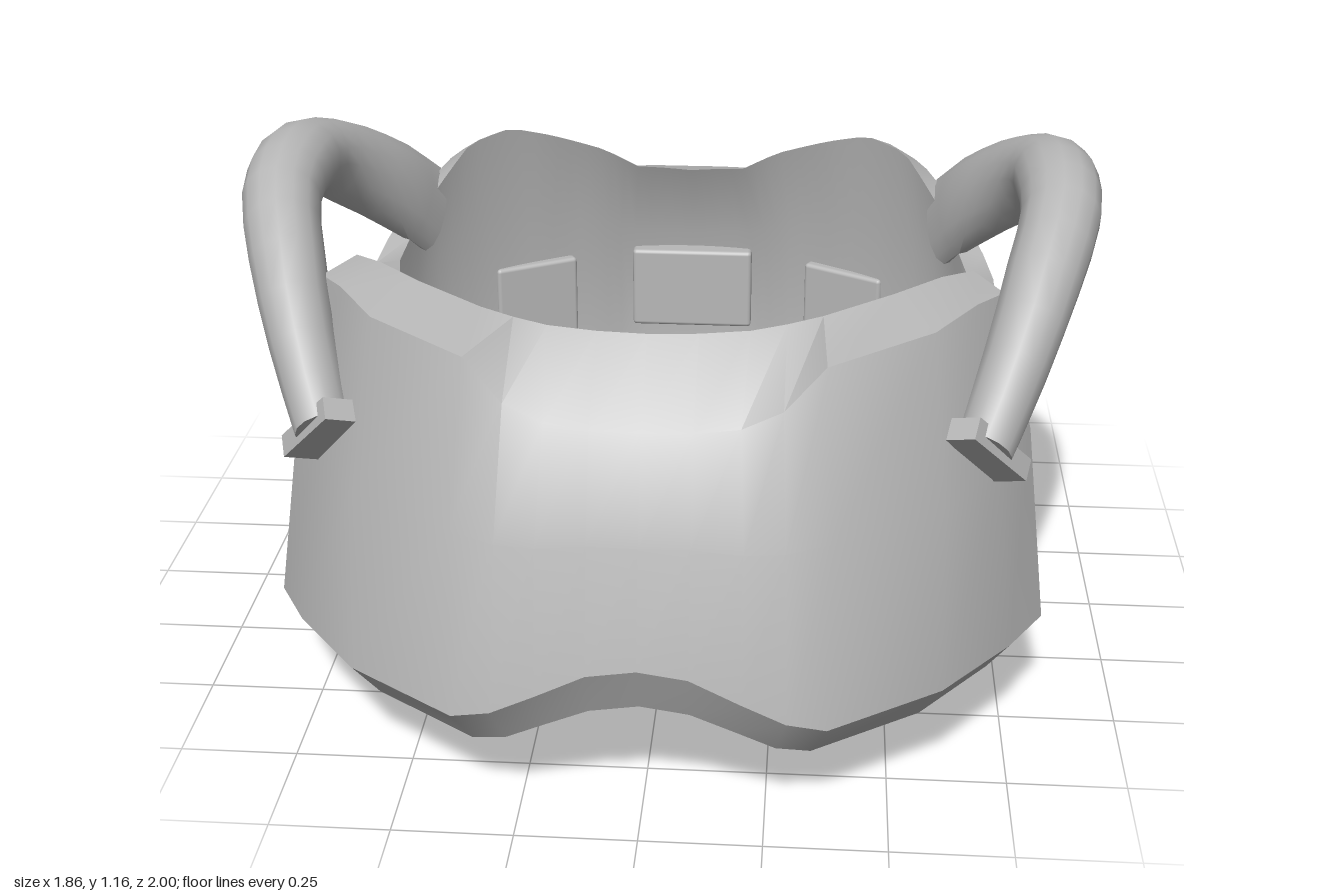
import * as THREE from 'three';
import { toCreasedNormals } from 'three/addons/utils/BufferGeometryUtils.js';
import { RoundedBoxGeometry } from 'three/addons/geometries/RoundedBoxGeometry.js';

const grey = new THREE.MeshStandardMaterial({ color: 0xb8b8b8 });
grey.name = 'plain grey';
const V = (x, y, z) => new THREE.Vector3(x, y, z);

function part(name, geometry, parent) {
  const m = new THREE.Mesh(geometry, grey);
  m.name = name;
  parent.add(m);
  return m;
}

// Solid skin through closed cross-sections, capped at both ends and turned outward
function loft(rings, crease = 0.6) {
  const tris = [], n = rings[0].length;
  for (let i = 0; i < rings.length - 1; i++) {
    for (let j = 0; j < n; j++) {
      const k = (j + 1) % n, a = rings[i], b = rings[i + 1];
      tris.push([a[j], a[k], b[k]], [a[j], b[k], b[j]]);
    }
  }
  [rings[0], rings[rings.length - 1]].forEach((r, e) => {
    const c = r.reduce((s, p) => s.add(p), V(0, 0, 0)).divideScalar(n);
    for (let j = 0; j < n; j++) {
      const k = (j + 1) % n;
      tris.push(e ? [c, r[j], r[k]] : [c, r[k], r[j]]);
    }
  });
  let volume = 0;
  for (const [a, b, c] of tris) volume += a.dot(b.clone().cross(c));
  const pts = tris.flatMap(([a, b, c]) => (volume < 0 ? [a, c, b] : [a, b, c]));
  return toCreasedNormals(new THREE.BufferGeometry().setFromPoints(pts), crease);
}

// Continues a half list of sections across the middle plane
const mirrored = (half) => [
  ...half.slice(1).reverse().map((r) => r.map((p) => V(-p.x, p.y, p.z))),
  ...half,
];

// Linear sampling of a table by its first column
function sample(table, t) {
  let i = 0;
  while (i < table.length - 2 && table[i + 1][0] < t) i++;
  const a = table[i], b = table[i + 1], f = (t - a[0]) / (b[0] - a[0]);
  return a.map((v, k) => v + (b[k] - v) * f);
}

// Front shield, a thin wall with a rim leaning inward:
// outer low, outer middle, outer top, inner rim, inner low
function frontShield() {
  const half = [
    [[0, .40, 1.0], [0, .64, .945], [0, .845, .865], [0, .98, .70], [0, .29, .95]],
    [[.10, .385, 1.0], [.10, .64, .943], [.10, .845, .86], [.10, .98, .692], [.10, .275, .95]],
    [[.20, .335, 1.0], [.20, .63, .94], [.19, .85, .845], [.20, .98, .67], [.19, .235, .945]],
    [[.29, .29, .995], [.28, .63, .93], [.27, .88, .825], [.27, .985, .645], [.27, .195, .935]],
    [[.37, .27, .98], [.37, .64, .90], [.35, .96, .79], [.34, .99, .61], [.34, .175, .91]],
    [[.60, .27, .82], [.59, .64, .745], [.56, .97, .63], [.48, 1.0, .51], [.56, .17, .75]],
    [[.75, .26, .62], [.71, .64, .57], [.65, .97, .48], [.58, 1.0, .41], [.71, .17, .56]],
    [[.83, .24, .46], [.785, .65, .385], [.71, .96, .39], [.65, .98, .32], [.79, .20, .47]],
    [[.80, .24, .43], [.72, .65, .295], [.68, .94, .32], [.66, .95, .30], [.775, .21, .43]],
  ];
  const inward = ([x, y, z], k, drop) => V(x * k, y - drop, z * k);
  return loft(mirrored(half.map(([low, mid, top, rim, inLow]) => [
    V(...low), V(...mid), V(...top), V(...rim), inward(top, .95, .05), inward(mid, .945, 0), V(...inLow),
  ])), 0.6);
}

// Back cup: angle, rim inner r, outer r, rim outer r, inner rim y, outer rim y, bottom y
function backCup() {
  const table = [
    [0, .63, .80, .81, .86, .81, .005],
    [12, .635, .80, .79, .87, .82, .008],
    [20, .64, .78, .76, .92, .86, .01],
    [32, .65, .775, .74, .97, .93, .02],
    [41, .67, .78, .74, 1.0, .97, .03],
    [50, .69, .79, .75, .98, .94, .04],
    [60, .71, .81, .77, .87, .85, .06],
    [66, .72, .815, .79, .79, .77, .12],
    [69, .73, .815, .80, .74, .72, .24],
  ];
  const half = [];
  for (let deg = 0; deg <= 69; deg += 3) {
    const [, ri, ro, rt, yIn, yOut, yb] = sample(table, deg);
    const a = THREE.MathUtils.degToRad(deg), h = yOut - yb;
    half.push([
      [ro - .11, yb + h * .05], [ro - .13, yb], [ro - .05, yb + h * .1], [ro, yb + h * .35],
      [ro, yb + h * .78], [rt, yOut], [ri, yIn], [ro - .075, yIn - h * .25], [ro - .07, yb + h * .35],
    ].map(([r, y]) => V(Math.sin(a) * r, y, -Math.cos(a) * r)));
  }
  return loft(mirrored(half), 0.75);
}

// Side band tucked under shield and cup: outer x, z, bottom y, top y
function sideBand(s) {
  const curve = [
    [.68, .50, .28, .64], [.74, .35, .26, .64], [.775, .20, .235, .62], [.787, .05, .22, .61],
    [.785, -.10, .215, .605], [.765, -.21, .21, .605], [.735, -.31, .215, .61], [.695, -.40, .22, .61],
  ];
  return loft(curve.map(([x, z, b, t]) => [
    V(s * x * .985, b, z * .985), V(s * x, b + .04, z), V(s * x, t - .04, z), V(s * x * .985, t, z * .985),
    V(s * x * .94, t, z * .94), V(s * x * .94, b, z * .94),
  ]), 0.6);
}

// Arched tube: x, y, z, upright radius, sideways radius
function archTube(s) {
  const p = [
    [.665, .72, .635, .085, .062], [.73, .85, .51, .085, .07], [.79, .98, .36, .085, .08],
    [.835, 1.06, .20, .085, .085], [.84, 1.085, .05, .085, .09], [.825, 1.065, -.08, .085, .085],
    [.77, 1.0, -.20, .10, .08], [.695, .915, -.31, .11, .07], [.63, .825, -.405, .115, .05],
  ];
  const path = new THREE.CatmullRomCurve3(p.map(([x, y, z]) => V(x, y, z)));
  const radii = p.map((q, i) => [i / (p.length - 1), q[3], q[4]]);
  const rings = [];
  for (let i = 0; i <= 16; i++) {
    const t = i / 16, c = path.getPoint(t), T = path.getTangent(t);
    const S = V(1, 0, 0).addScaledVector(T, -T.x).normalize(), U = T.clone().cross(S);
    const [, ru, rs] = sample(radii, t);
    rings.push(Array.from({ length: 14 }, (_, j) => {
      const a = (j / 14) * Math.PI * 2;
      const q = c.clone().addScaledVector(U, Math.cos(a) * ru).addScaledVector(S, Math.sin(a) * rs);
      return V(s * q.x, q.y, q.z);
    }));
  }
  return loft(rings, 0.8);
}

// Flat clip across the lower tip of a tube, reaching through the shield wall
function tubeClip(s) {
  const L = V(.13, -.15, -.10).normalize(), D = V(-.17, -.33, .44);
  D.addScaledVector(L, -D.dot(L)).normalize();
  const N = L.clone().cross(D), c = V(.665, .72, .635);
  const at = (l, d, n) => {
    const q = c.clone().addScaledVector(L, l).addScaledVector(D, d).addScaledVector(N, n);
    return V(s * q.x, q.y, q.z);
  };
  return loft([-.024, .024].map((d) => [
    at(-.098, d, -.05), at(.098, d, -.05), at(.098, d, .035), at(.08, d, .05), at(-.08, d, .05), at(-.098, d, .035),
  ]), 0.4);
}

// Pouch facing outward along its own +z, shifted sideways by dx
function pouch(name, angle, dx, padWidth) {
  const g = new THREE.Group();
  g.name = name;
  g.rotation.y = Math.PI + angle;
  const box = (label, x, w, y0, y1, z0, z1, r) => part(label, new RoundedBoxGeometry(w, y1 - y0, z1 - z0, 2, r), g)
    .position.set(x, (y0 + y1) / 2, (z0 + z1) / 2);
  box('pouchBody', dx, .315, .05, .62, .735, .96, .015);
  box('pouchLid', dx, .335, .40, .64, .74, .998, .02);
  const flap = new THREE.Shape([[-.165, .6], [-.165, .28], [-.12, .19], [.12, .19], [.165, .28], [.165, .6]]
    .map(([x, y]) => new THREE.Vector2(x, y)));
  part('pouchFlap', new THREE.ExtrudeGeometry(flap, { depth: .045, bevelEnabled: false }), g).position.set(dx, 0, .953);
  box('pouchLatch', dx, .09, .11, .215, .95, 1.0, .01);
  // Pads showing on the inside of the cup
  box('innerPadUpper', dx * 2, padWidth, .41, .62, .68, .75, .01);
  box('innerPadLower', dx * 2, padWidth, .06, .23, .675, .75, .01);
  return g;
}

export function createModel() {
  const model = new THREE.Group();
  model.name = 'headgear';
  part('frontShield', frontShield(), model);
  part('backCup', backCup(), model);
  for (const [s, side] of [[1, 'left'], [-1, 'right']]) {
    part(side + 'Band', sideBand(s), model);
    part(side + 'Tube', archTube(s), model);
    part(side + 'TubeClip', tubeClip(s), model);
  }
  const turn = THREE.MathUtils.degToRad(29.5);
  model.add(
    pouch('centrePouch', 0, 0, .31),
    pouch('leftPouch', -turn, -.03, .22),
    pouch('rightPouch', turn, .03, .22),
  );
  return model;
}
